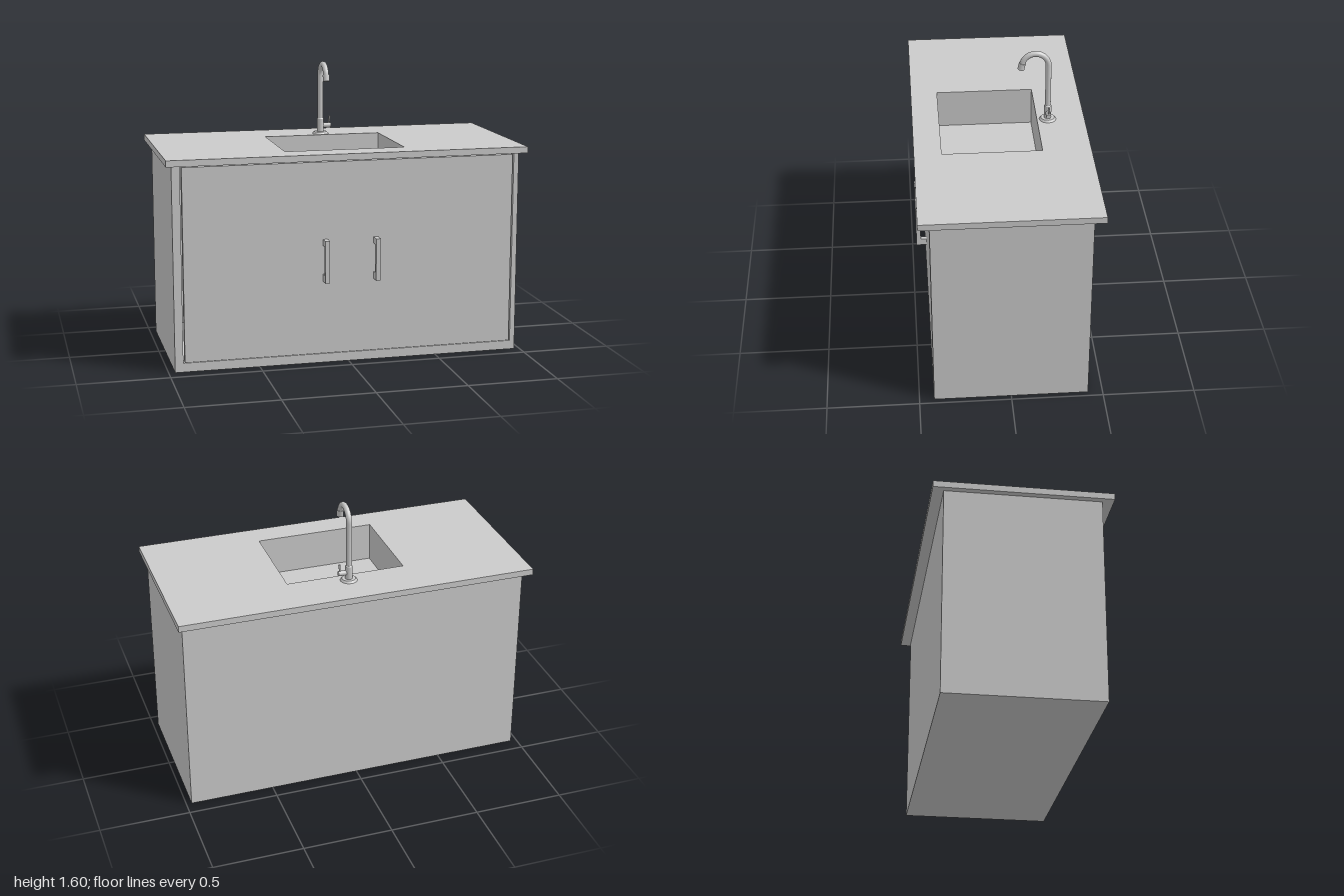
import * as THREE from 'three';

const material = new THREE.MeshStandardMaterial({ color: 0xcccccc, side: THREE.DoubleSide });

function add(parent, name, geometry, x = 0, y = 0, z = 0) {
  const mesh = new THREE.Mesh(geometry, material);
  mesh.name = name;
  mesh.position.set(x, y, z);
  parent.add(mesh);
  return mesh;
}

// Box given by its minimum and maximum corners
function block(parent, name, [x0, y0, z0], [x1, y1, z1]) {
  return add(parent, name, new THREE.BoxGeometry(x1 - x0, y1 - y0, z1 - z0),
    (x0 + x1) / 2, (y0 + y1) / 2, (z0 + z1) / 2);
}

const points = (list) => list.map(([x, y]) => new THREE.Vector2(x, y));
const rect = (x0, y0, x1, y1) => points([[x0, y0], [x1, y0], [x1, y1], [x0, y1]]);

function extrude(outline, depth, holes = []) {
  const shape = new THREE.Shape(outline);
  holes.forEach((h) => shape.holes.push(new THREE.Path(h)));
  return new THREE.ExtrudeGeometry(shape, { depth, bevelEnabled: false });
}

function createCabinet() {
  const cabinet = new THREE.Group();
  cabinet.name = 'cabinet';
  // Sides and floor as one U-shaped shell
  add(cabinet, 'carcass', extrude(points([
    [-0.965, 0], [0.97, 0], [0.97, 1.135], [0.942, 1.135],
    [0.942, 0.05], [-0.92, 0.05], [-0.92, 1.135], [-0.965, 1.135],
  ]), 0.84), 0, 0, -0.42);
  block(cabinet, 'backPanel', [-0.92, 0.05, -0.42], [0.942, 1.135, -0.39]);
  block(cabinet, 'topRail', [-0.92, 1.125, 0.38], [0.942, 1.135, 0.42]);
  block(cabinet, 'doorFront', [-0.911, 0.053, 0.385], [0.934, 1.121, 0.422]);

  // C-shaped pulls
  const profile = points([
    [0.42, 0.46], [0.48, 0.46], [0.48, 0.695], [0.42, 0.695],
    [0.42, 0.66], [0.455, 0.66], [0.455, 0.5], [0.42, 0.5],
  ]);
  for (const x of [-0.133, 0.151]) {
    const handle = add(cabinet, 'handle', extrude(profile, 0.025), x + 0.0125, 0, 0);
    handle.rotation.y = -Math.PI / 2;
  }
  return cabinet;
}

function createCounter() {
  const counter = new THREE.Group();
  counter.name = 'counter';
  // Outlines are drawn in plan and laid flat
  const opening = rect(-0.335, -0.33, 0.335, 0.215);
  const top = add(counter, 'worktop',
    extrude(rect(-1, -0.48, 1, 0.48), 0.035, [opening]), 0, 1.135, 0);
  const walls = add(counter, 'basinWalls',
    extrude(rect(-0.347, -0.342, 0.347, 0.227), 0.185, [opening]), 0, 0.95, 0);
  top.rotation.x = walls.rotation.x = -Math.PI / 2;
  block(counter, 'basinFloor', [-0.347, 0.938, -0.227], [0.347, 0.95, 0.342]);
  return counter;
}

function createFaucet() {
  const faucet = new THREE.Group();
  faucet.name = 'faucet';
  faucet.position.set(0.003, 1.17, -0.275);
  // Flange and lower body
  add(faucet, 'flange', new THREE.CylinderGeometry(0.038, 0.047, 0.012, 24), 0, 0.006, 0);
  add(faucet, 'body', new THREE.CylinderGeometry(0.02, 0.02, 0.075, 24), 0, 0.0475, 0);
  add(faucet, 'collar', new THREE.CylinderGeometry(0.016, 0.02, 0.006, 24), 0, 0.088, 0);

  // Gooseneck: straight riser followed by an arc
  const R = 0.073, rise = 0.338, sweep = Math.PI * 0.93;
  const arcPoint = (a) => new THREE.Vector3(0, rise + R * Math.sin(a), R - R * Math.cos(a));
  const arc = [];
  for (let i = 0; i <= 14; i++) arc.push(arcPoint(sweep * i / 14));
  const neck = new THREE.CurvePath();
  neck.add(new THREE.LineCurve3(new THREE.Vector3(0, 0.08, 0), arc[0]));
  neck.add(new THREE.CatmullRomCurve3(arc));
  add(faucet, 'neck', new THREE.TubeGeometry(neck, 64, 0.016, 16, false));

  // Slightly wider outlet following the end of the arc
  const dir = new THREE.Vector3(0, Math.cos(sweep), Math.sin(sweep));
  const middle = arc[14].clone().addScaledVector(dir, 0.016);
  const outlet = add(faucet, 'outlet', new THREE.CylinderGeometry(0.019, 0.019, 0.038, 20),
    middle.x, middle.y, middle.z);
  outlet.quaternion.setFromUnitVectors(new THREE.Vector3(0, 1, 0), dir);

  // Side valve with an upright lever
  const valve = add(faucet, 'valve',
    new THREE.CylinderGeometry(0.014, 0.014, 0.05, 20), 0.036, 0.047, 0);
  valve.rotation.z = Math.PI / 2;
  const lever = add(faucet, 'lever',
    new THREE.CylinderGeometry(0.006, 0.004, 0.055, 12), 0.052, 0.073, 0);
  lever.rotation.z = -0.1;
  return faucet;
}

export function createModel() {
  const model = new THREE.Group();
  model.name = 'sinkCabinet';
  model.add(createCabinet(), createCounter(), createFaucet());
  return model;
}
